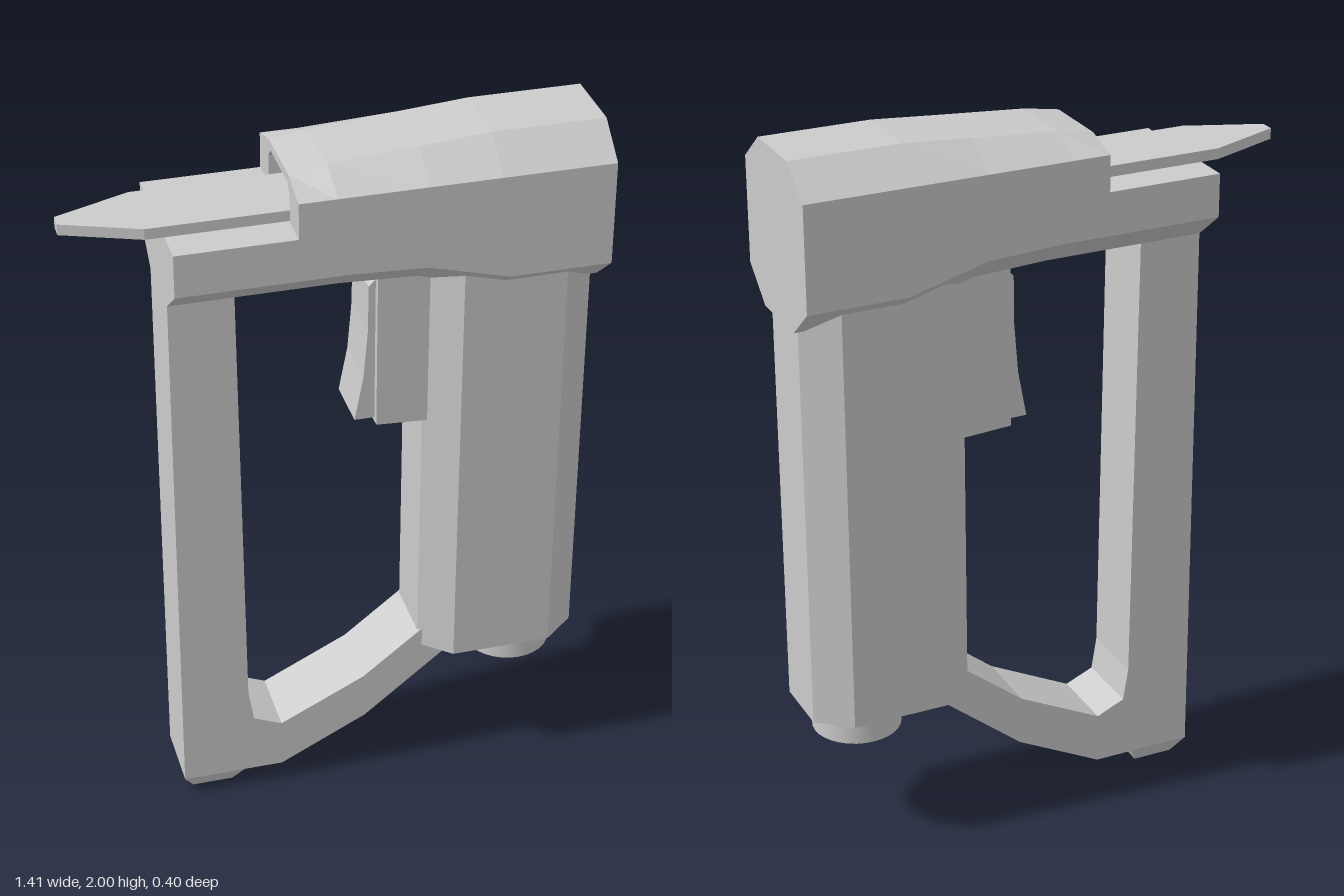
import * as THREE from 'three';

const material = new THREE.MeshStandardMaterial({ color: 0xcccccc, flatShading: true });

function part(group, name, geometry) {
  const mesh = new THREE.Mesh(geometry, material);
  mesh.name = name;
  group.add(mesh);
  return mesh;
}

// Skin a row of convex rings, each counter-clockwise seen from the far end, and cap both ends
function loft(rings) {
  const pos = [];
  const tri = (a, b, c) => pos.push(...a, ...b, ...c);
  const n = rings[0].length;
  for (let r = 0; r < rings.length - 1; r++) {
    const a = rings[r], b = rings[r + 1];
    for (let i = 0; i < n; i++) {
      const j = (i + 1) % n;
      tri(a[i], a[j], b[j]);
      tri(a[i], b[j], b[i]);
    }
  }
  const first = rings[0], last = rings[rings.length - 1];
  for (let i = 1; i < n - 1; i++) {
    tri(first[0], first[i + 1], first[i]);
    tri(last[0], last[i], last[i + 1]);
  }
  const g = new THREE.BufferGeometry();
  g.setAttribute('position', new THREE.Float32BufferAttribute(pos, 3));
  g.computeVertexNormals();
  return g;
}

// Upright prism from a plan outline of [x, z] points
function prism(outline, y0, y1) {
  return loft([y0, y1].map((y) => outline.map(([x, z]) => [x, y, z])));
}

// Side profile of [x, y] points, extruded evenly about z = 0
function slab(points, half) {
  const shape = new THREE.Shape(points.map(([x, y]) => new THREE.Vector2(x, y)));
  return new THREE.ExtrudeGeometry(shape, { depth: half * 2, bevelEnabled: false }).translate(0, 0, -half);
}

// Six-sided section across the body: narrow edge at yNarrow, wide edge at yWide and yFar
const lowerRing = (x, bottom, low) => [
  [x, bottom, 0.1], [x, bottom, -0.1], [x, low, -0.2],
  [x, 1.82, -0.2], [x, 1.82, 0.2], [x, low, 0.2],
];
const hoodRing = (x, high, top, wide = 0.2, narrow = 0.1) => [
  [x, 1.82, wide], [x, 1.82, -wide], [x, high, -wide],
  [x, top, -narrow], [x, top, narrow], [x, high, wide],
];

export function createModel() {
  const model = new THREE.Group();
  model.name = 'handTool';

  // Main housing with chamfered underside
  part(model, 'lowerHousing', loft([
    lowerRing(-0.45, 1.62, 1.7),
    lowerRing(0, 1.62, 1.7),
    lowerRing(0.21, 1.61, 1.69),
    lowerRing(0.43, 1.545, 1.63),
    lowerRing(0.705, 1.545, 1.63),
  ]));

  // Raised hood with a shallow recess in its rear face
  part(model, 'hood', loft([
    hoodRing(-0.09, 1.9, 1.925, 0.11, 0.085),
    hoodRing(-0.13, 1.9, 1.925, 0.11, 0.085),
    hoodRing(-0.13, 1.92, 1.95),
    hoodRing(-0.03, 1.92, 1.967),
    hoodRing(0.21, 1.92, 1.985),
    hoodRing(0.4, 1.92, 2.0),
    hoodRing(0.705, 1.92, 2.0),
  ]));

  // Flat pointed blade on the rear deck
  part(model, 'blade', prism([
    [-0.705, 0.02], [-0.5, 0.1], [-0.08, 0.1],
    [-0.08, -0.1], [-0.5, -0.1], [-0.705, -0.02],
  ], 1.82, 1.85));

  // Eight-sided upright barrel
  part(model, 'barrel', prism([
    [0.235, 0.09], [0.32, 0.165], [0.6, 0.165], [0.69, 0.09],
    [0.69, -0.09], [0.6, -0.165], [0.32, -0.165], [0.235, -0.09],
  ], 0.4, 1.66));

  // Round cap under the barrel
  const cap = part(model, 'barrelCap', new THREE.CylinderGeometry(0.123, 0.123, 0.11, 32));
  cap.material = new THREE.MeshStandardMaterial({ color: 0xcccccc });
  cap.position.set(0.53, 0.37, 0);

  // Handle column and curved brace
  part(model, 'handleFrame', slab([
    [-0.45, 1.65], [-0.45, 0.055], [-0.275, 0.055], [-0.165, 0.055],
    [0.08, 0.18], [0.35, 0.4], [0.35, 0.46], [0.25, 0.46],
    [0.075, 0.32], [-0.165, 0.2], [-0.245, 0.235], [-0.26, 0.33], [-0.275, 1.65],
  ], 0.1));

  // Tapered foot of the handle
  const footRing = (x0, x1, y, z) => [[x0, y, z], [x1, y, z], [x1, y, -z], [x0, y, -z]];
  part(model, 'handleFoot', loft([
    footRing(-0.42, -0.305, 0, 0.065),
    footRing(-0.45, -0.275, 0.055, 0.1),
  ]));

  // Trigger housing and curved trigger
  part(model, 'triggerHousing', slab([
    [0.105, 1.168], [0.28, 1.158], [0.28, 1.65], [0.105, 1.65],
  ], 0.1));
  part(model, 'trigger', slab([
    [0.05, 1.18], [0.13, 1.18], [0.13, 1.61], [0.1, 1.6],
    [0.086, 1.585], [0.085, 1.45], [0.074, 1.31],
  ], 0.08));

  return model;
}
